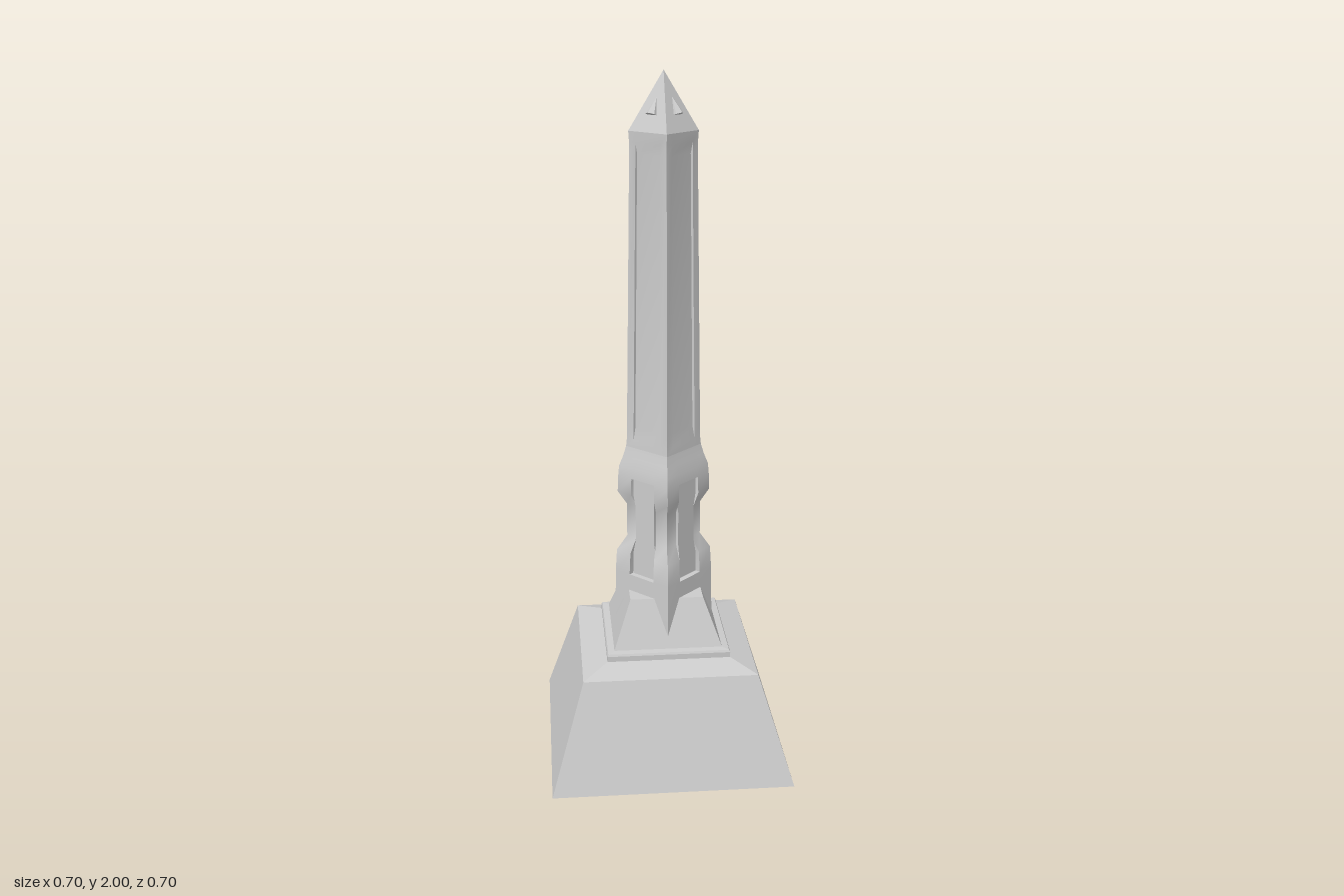
import * as THREE from 'three';
import { toCreasedNormals } from 'three/addons/utils/BufferGeometryUtils.js';

const grey = new THREE.MeshStandardMaterial({ color: 0xcccccc });
const greyOpen = new THREE.MeshStandardMaterial({ color: 0xcccccc, side: THREE.DoubleSide, flatShading: true });

// Square stepped solid from [halfWidth, y] pairs
function squareStack(profile) {
  const points = profile.map(([w, y]) => new THREE.Vector2(w * Math.SQRT2, y));
  const geometry = new THREE.LatheGeometry(points, 4, Math.PI / 4).toNonIndexed();
  geometry.computeVertexNormals();
  return geometry;
}

// One diamond ring; each face has a strip t0..1-t0 lying at half-diagonal d instead of r
function ring([y, r, t0 = 0.17, d = r]) {
  const loop = [];
  const strip = [[0, r], [t0, r], [t0, d], [1 - t0, d], [1 - t0, r]];
  for (let side = 0; side < 4; side++) {
    const c = Math.round(Math.cos(side * Math.PI / 2));
    const s = Math.round(Math.sin(side * Math.PI / 2));
    for (const [t, depth] of strip) {
      const shift = (r - depth) / 2;
      const x = r * (1 - t) - shift;
      const z = r * t - shift;
      loop.push(new THREE.Vector3(x * c - z * s, y, x * s + z * c));
    }
  }
  return loop;
}

// Skin the rings, skipping collapsed triangles
function loft(levels) {
  const rings = levels.map(ring);
  const positions = [];
  const triangle = (a, b, c) => {
    const area = b.clone().sub(a).cross(c.clone().sub(a)).length();
    if (area > 1e-9) for (const p of [a, b, c]) positions.push(p.x, p.y, p.z);
  };
  for (let i = 0; i < rings.length - 1; i++) {
    const low = rings[i], high = rings[i + 1], n = low.length;
    for (let j = 0; j < n; j++) {
      const k = (j + 1) % n;
      triangle(low[j], high[j], low[k]);
      triangle(low[k], high[j], high[k]);
    }
  }
  const geometry = new THREE.BufferGeometry();
  geometry.setAttribute('position', new THREE.Float32BufferAttribute(positions, 3));
  return toCreasedNormals(geometry, 0.5);
}

export function createModel() {
  const model = new THREE.Group();
  const add = (name, geometry, material = grey) => {
    const mesh = new THREE.Mesh(geometry, material);
    mesh.name = name;
    model.add(mesh);
    return mesh;
  };

  // Hollow plinth with a low step and tapered pedestal
  add('plinth', squareStack([[0.35, 0], [0.253, 0.315], [0.18, 0.338], [0.18, 0.354], [0.177, 0.36], [0.158, 0.362]]), greyOpen);
  add('pedestal', squareStack([[0.158, 0.362], [0.107, 0.5], [0, 0.5]]), greyOpen);

  // Foot, waist and collar, with a flat strap down every face
  const s = 0.27, d = 0.12;
  add('waistAndCollar', loft([
    [0.37, 0.146, s], [0.55, 0.143, s], [0.55, 0.143, s, d],
    [0.615, 0.139, s, d], [0.66, 0.108, s, d], [0.76, 0.108, s, d],
    [0.80, 0.135, s, d], [0.85, 0.133, s, d], [0.85, 0.133, s], [0.88, 0.13, s],
    [0.91, 0.118, s], [0.94, 0.109, s],
  ]));

  // Shaft with a long sunken panel on every face
  add('shaft', loft([
    [0.94, 0.109], [0.96, 0.107], [1.0, 0.106, 0.17, 0.095],
    [1.78, 0.094, 0.17, 0.084], [1.81, 0.094], [1.84, 0.096],
  ]));
  add('cap', loft([[1.84, 0.096], [2, 0]]));

  // Small tapered studs on the cap faces
  const slope = Math.atan(0.068 / 0.16);
  for (let i = 0; i < 4; i++) {
    const stud = new THREE.ConeGeometry(0.018, 0.05, 6).translate(0, 0.025, 0);
    stud.rotateX(-slope).translate(0, 1.885, 0.049).rotateY(Math.PI / 4 + i * Math.PI / 2);
    add('capStud', toCreasedNormals(stud, 0.5));
  }
  return model;
}
